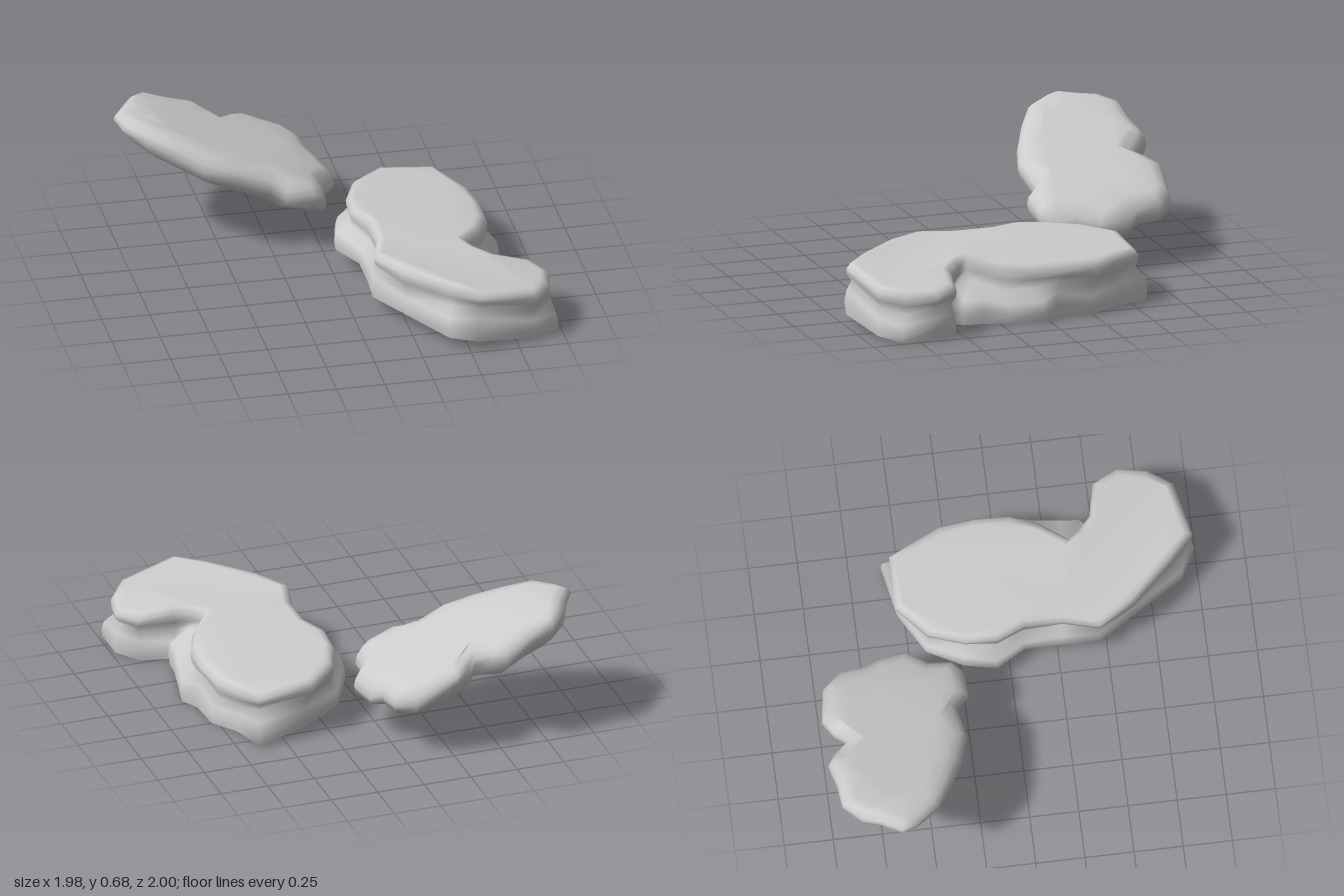
import * as THREE from 'three';

const stone = new THREE.MeshStandardMaterial({ color: 0xcccccc });
stone.name = 'grey stone';
stone.side = THREE.DoubleSide;

// Outlines as [x, z], seen from above
const slabTop = [
  [0.35, -0.54], [0.63, -0.54], [0.70, -0.40], [0.76, -0.28], [0.78, -0.10], [0.77, 0.08],
  [0.71, 0.22], [0.60, 0.36], [0.64, 0.42], [0.72, 0.49], [0.90, 0.53], [0.97, 0.65],
  [0.94, 0.80], [0.85, 0.92], [0.55, 0.98], [0.42, 0.86], [0.22, 0.64], [0.12, 0.46],
  [0.17, 0.28], [0.17, 0.08], [0.11, -0.06], [0.12, -0.22], [0.19, -0.40],
];
const slabBase = [
  [0.38, -0.54], [0.65, -0.59], [0.70, -0.39], [0.79, -0.25], [0.80, -0.06], [0.85, 0.03],
  [0.81, 0.20], [0.78, 0.34], [0.77, 0.44], [0.72, 0.48], [0.90, 0.52], [0.985, 0.65],
  [0.985, 0.84], [0.85, 0.93], [0.54, 0.995], [0.40, 0.92], [0.23, 0.65], [0.10, 0.46],
  [0.11, 0.27], [0.11, 0.08], [0.02, -0.07], [0.06, -0.24], [0.16, -0.42],
];
const leaningOutline = [
  [-0.99, -0.68], [-0.93, -0.78], [-0.89, -0.87], [-0.80, -0.96], [-0.67, -0.97], [-0.53, -1.00],
  [-0.47, -0.96], [-0.40, -0.89], [-0.35, -0.95], [-0.27, -1.00], [-0.06, -0.97], [0.03, -0.88],
  [0.05, -0.75], [0.09, -0.68], [0.12, -0.53], [0.04, -0.42], [0.03, -0.30], [-0.04, -0.25],
  [-0.19, -0.24], [-0.26, -0.31], [-0.44, -0.28], [-0.60, -0.33], [-0.74, -0.40], [-0.87, -0.48],
  [-0.96, -0.60],
];

// Moves every outline point inwards by d
function inset(outline, d) {
  const n = outline.length;
  return outline.map(([x, z], i) => {
    const a = outline[(i + n - 1) % n], b = outline[(i + 1) % n];
    const tx = b[0] - a[0], tz = b[1] - a[1], len = Math.hypot(tx, tz);
    return [x - (tz / len) * d, z + (tx / len) * d];
  });
}

const blend = (a, b, t) => a.map((p, i) => [p[0] + (b[i][0] - p[0]) * t, p[1] + (b[i][1] - p[1]) * t]);

// Joins rings (bottom to top) into a rock; each ring is { outline, y(x, z, i) }
function rock(name, rings, closedBelow) {
  const pos = [], index = [], n = rings[0].outline.length;
  rings.forEach(({ outline, y }) => outline.forEach(([x, z], i) => pos.push(x, y(x, z, i), z)));
  for (let r = 0; r < rings.length - 1; r++) {
    for (let i = 0; i < n; i++) {
      const a = r * n + i, b = r * n + (i + 1) % n;
      index.push(a, a + n, b, b, a + n, b + n);
    }
  }
  const cap = (r, up) => {
    const pts = rings[r].outline.map(([x, z]) => new THREE.Vector2(x, z));
    for (const [a, b, c] of THREE.ShapeUtils.triangulateShape(pts, [])) {
      const area = THREE.ShapeUtils.area([pts[a], pts[b], pts[c]]);
      const flip = (area > 0) === up;
      index.push(r * n + a, r * n + (flip ? c : b), r * n + (flip ? b : c));
    }
  };
  cap(rings.length - 1, true);
  if (closedBelow) cap(0, false);
  const geo = new THREE.BufferGeometry();
  geo.setAttribute('position', new THREE.Float32BufferAttribute(pos, 3));
  geo.setIndex(index);
  geo.computeVertexNormals();
  const mesh = new THREE.Mesh(geo, stone);
  mesh.name = name;
  return mesh;
}

// Long flat slab with a shallow weathered groove around it, hollow underneath
function flatSlab() {
  const top = (x, z) => 0.335 - 0.19 * Math.max(0, x - 0.5) - 0.06 * Math.max(0, -z);
  const base = (x, z) => Math.max(0, 0.1 - 0.14 * x) + 0.25 * Math.max(0, z - 0.88);
  const level = (t, wobble = 0) => (x, z, i) =>
    base(x, z) + (top(x, z) - base(x, z)) * (t + wobble * Math.sin(i * 1.9));
  return rock('flatSlab', [
    { outline: inset(slabBase, 0.008), y: level(0) },
    { outline: slabBase, y: level(0.2, 0.06) },
    { outline: inset(slabBase, 0.012), y: level(0.4, 0.07) },
    { outline: inset(blend(slabBase, slabTop, 0.7), 0.024), y: level(0.58, 0.07) },
    { outline: inset(slabTop, -0.006), y: level(0.74, 0.04) },
    { outline: inset(slabTop, -0.008), y: level(0.88) },
    { outline: inset(slabTop, 0.012), y: level(0.98) },
    { outline: inset(slabTop, 0.04), y: level(1) },
  ], false);
}

// Smaller closed slab with a rounded belly, rising towards its right end
function leaningSlab() {
  const level = (t, wobble = 0) => (x, z, i) => {
    const middle = 0.262 - 0.375 * x - 0.04 * (z + 0.6);
    const half = 0.092 * Math.min(1, 0.55 + 3 * (x + 1));
    return middle + half * (t + wobble * Math.sin(i * 2.3));
  };
  const o = leaningOutline;
  const scaled = (s) => o.map(([x, z]) => [-0.43 + (x + 0.43) * s, -0.62 + (z + 0.62) * s]);
  return rock('leaningSlab', [
    { outline: scaled(0.35), y: level(-1.15) },
    { outline: scaled(0.66), y: level(-1.02) },
    { outline: scaled(0.88), y: level(-0.7, 0.08) },
    { outline: inset(o, 0.012), y: level(-0.35, 0.12) },
    { outline: o, y: level(0.1, 0.15) },
    { outline: inset(o, 0.008), y: level(0.5, 0.1) },
    { outline: inset(o, 0.035), y: level(0.85) },
    { outline: inset(o, 0.075), y: level(1) },
    { outline: scaled(0.66), y: level(1.1) },
  ], true);
}

export function createModel() {
  const model = new THREE.Group();
  model.name = 'rocks';
  model.add(flatSlab(), leaningSlab());
  return model;
}
